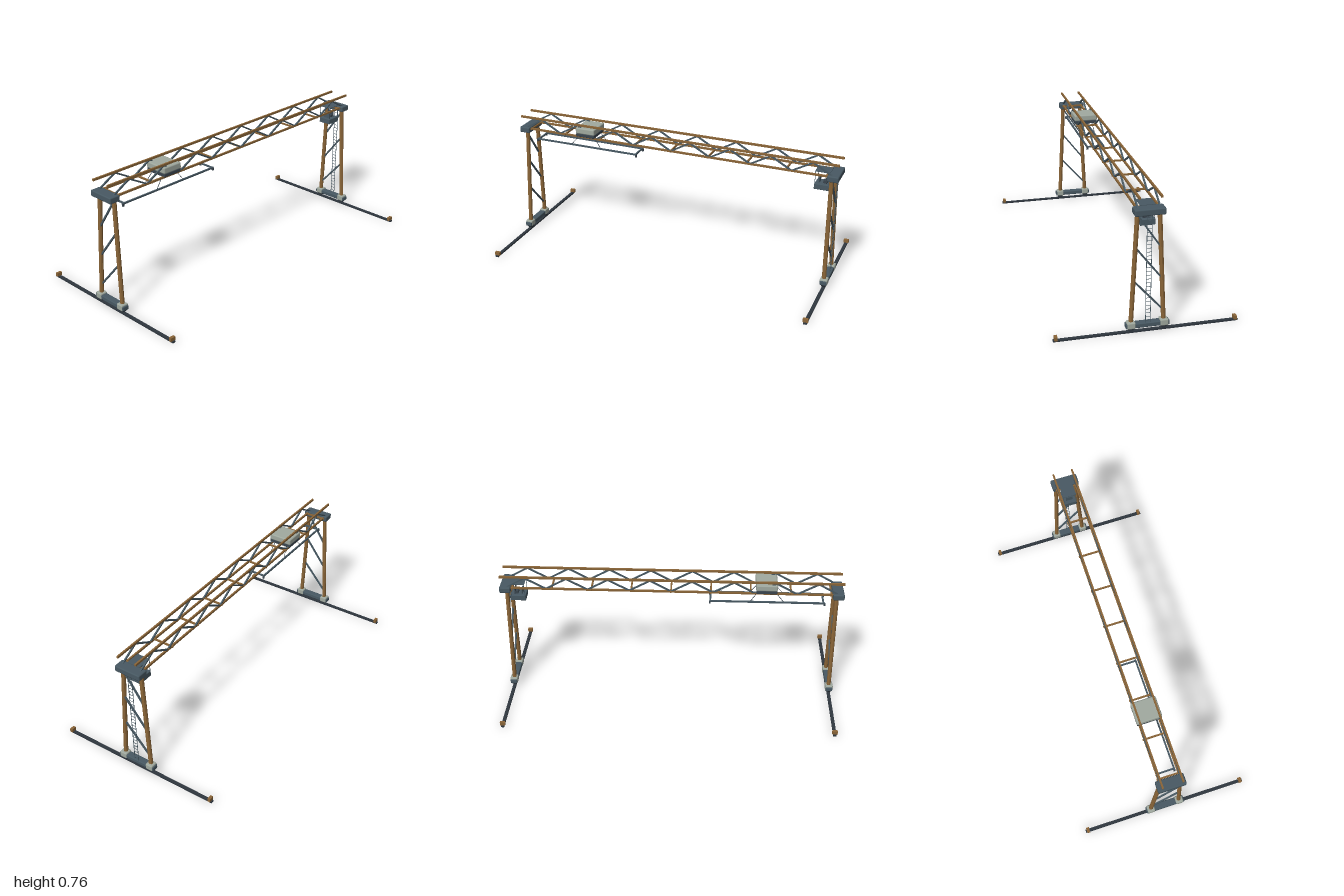
import * as THREE from 'three';
import { RoundedBoxGeometry } from 'three/addons/geometries/RoundedBoxGeometry.js';

const mat = (name, color) => {
  const m = new THREE.MeshStandardMaterial({ color });
  m.name = name;
  return m;
};

export function createModel() {
  const root = new THREE.Group();
  root.name = 'gantryCrane';
  const ochre = mat('ochre paint', 0x8a6538);
  const slate = mat('slate steel', 0x485963);
  const pale = mat('pale grey paint', 0xa1aaa0);
  const dark = mat('dark steel', 0x3a454e);
  const rail = mat('rail iron', 0x2f373f);

  const group = (name, parent = root) => {
    const g = new THREE.Group();
    g.name = name;
    parent.add(g);
    return g;
  };
  const add = (parent, name, geo, material, x, y, z) => {
    const m = new THREE.Mesh(geo, material);
    m.name = name;
    m.position.set(x, y, z);
    parent.add(m);
    return m;
  };
  const box = (parent, name, w, h, d, material, x, y, z) =>
    add(parent, name, new THREE.BoxGeometry(w, h, d), material, x, y, z);
  const bevelBox = (parent, name, w, h, d, r, material, x, y, z) =>
    add(parent, name, new RoundedBoxGeometry(w, h, d, 1, r), material, x, y, z);
  // Straight faceted bar between two points, square by default
  const bar = (parent, name, a, b, r, material, sides = 4) => {
    const p = new THREE.Vector3(...a), q = new THREE.Vector3(...b);
    const dir = q.clone().sub(p);
    const geo = new THREE.CylinderGeometry(r, r, dir.length(), sides).toNonIndexed();
    geo.rotateY(sides === 4 ? Math.PI / 4 : 0);
    geo.computeVertexNormals();
    const m = add(parent, name, geo, material, ...p.add(q).multiplyScalar(0.5).toArray());
    m.quaternion.setFromUnitVectors(new THREE.Vector3(0, 1, 0), dir.normalize());
  };

  // Portal frames on their ground rails
  for (const s of [1, -1]) {
    const z = s * 0.966;
    const frame = group(s > 0 ? 'frontFrame' : 'backFrame');
    box(frame, 'groundRail', 1, 0.009, 0.019, rail, 0, 0.0045, z);
    bevelBox(frame, 'sillBeam', 0.236, 0.026, 0.04, 0.005, slate, 0, 0.042, z);
    bevelBox(frame, 'headBeam', 0.162, 0.036, 0.066, 0.007, slate, 0, 0.678, z);
    for (const x of [-1, 1]) {
      box(frame, 'endStop', 0.017, 0.021, 0.03, ochre, x * 0.485, 0.0185, z);
      bevelBox(frame, 'bogie', 0.046, 0.037, 0.046, 0.007, pale, x * 0.089, 0.045, z);
      const wheel = new THREE.CylinderGeometry(0.018, 0.018, 0.024, 16);
      wheel.rotateX(Math.PI / 2);
      add(frame, 'wheel', wheel, rail, x * 0.089, 0.027, z);
      bar(frame, 'leg', [x * 0.088, 0.057, s * 0.964], [x * 0.058, 0.669, s * 0.956], 0.0125, ochre, 8);
    }
    const braces = [[-0.08, 0.117, 0.072, 0.289], [-0.072, 0.299, 0.066, 0.477], [-0.064, 0.474, 0.058, 0.655]];
    for (const [x0, y0, x1, y1] of braces)
      bar(frame, 'diagonalBrace', [x0, y0, s * 0.962], [x1, y1, s * 0.962], 0.0064, slate);
  }

  // Twin truss girder
  const girder = group('girder');
  const panel = 0.1213, low = 0.685, high = 0.757;
  for (const x of [-0.058, 0.058]) {
    box(girder, 'topChord', 0.01, 0.012, 1.99, ochre, x, high, 0);
    box(girder, 'bottomChord', 0.01, 0.011, 1.94, ochre, x, low, 0);
    for (let i = -8; i < 8; i++) {
      const y = (k) => (k % 2 === 0 ? low : high - 0.004);
      bar(girder, 'trussDiagonal', [x, y(i), i * panel], [x, y(i + 1), (i + 1) * panel], 0.006, slate);
    }
  }
  for (let i = -4; i <= 4; i++)
    box(girder, 'crossTie', 0.134, 0.009, 0.009, ochre, 0, low, i * 0.2315);

  // Trolley on the lower chords
  const trolley = group('trolley');
  bevelBox(trolley, 'trolleyBase', 0.142, 0.02, 0.12, 0.004, dark, 0, 0.697, 0.553);
  bevelBox(trolley, 'trolleyHousing', 0.146, 0.038, 0.125, 0.008, pale, 0, 0.725, 0.553);

  // Hoisted spreader frame
  const spreader = group('spreader');
  for (const x of [-0.051, 0.051]) {
    box(spreader, 'spreaderBeam', 0.009, 0.009, 0.67, slate, x, 0.622, 0.559);
    for (const z of [0.226, 0.892]) box(spreader, 'cornerLock', 0.01, 0.016, 0.01, dark, x, 0.614, z);
    for (const [z0, z1] of [[0.6, 0.655], [0.506, 0.46]])
      bar(spreader, 'hoistCable', [x * 0.8, 0.689, z0], [x, 0.624, z1], 0.0018, dark);
  }
  for (const z of [0.23, 0.885])
    box(spreader, 'spreaderTie', 0.1, 0.008, 0.009, slate, 0, 0.622, z);

  // Open operator cabin under the back end
  const cabin = group('operatorCabin');
  bevelBox(cabin, 'cabinFloor', 0.08, 0.033, 0.09, 0.003, slate, 0, 0.604, -0.9);
  box(cabin, 'cabinRoof', 0.08, 0.004, 0.085, slate, 0, 0.697, -0.9);
  for (const x of [-0.038, 0.038])
    for (const z of [-0.859, -0.938])
      box(cabin, 'cabinPost', 0.0025, 0.078, 0.0025, slate, x, 0.658, z);
  box(cabin, 'seatBase', 0.03, 0.016, 0.018, dark, 0, 0.628, -0.91);
  box(cabin, 'seatBack', 0.042, 0.042, 0.005, dark, 0, 0.641, -0.92);
  box(cabin, 'console', 0.042, 0.034, 0.005, slate, 0, 0.637, -0.878);

  // Access ladder on the back frame
  const ladder = group('ladder');
  for (const x of [-0.013, 0.013])
    box(ladder, 'ladderRail', 0.0025, 0.615, 0.0025, slate, x, 0.36, -0.979);
  for (let i = 0; i < 28; i++)
    box(ladder, 'ladderRung', 0.026, 0.002, 0.002, slate, 0, 0.067 + i * 0.0216, -0.979);

  return root;
}
